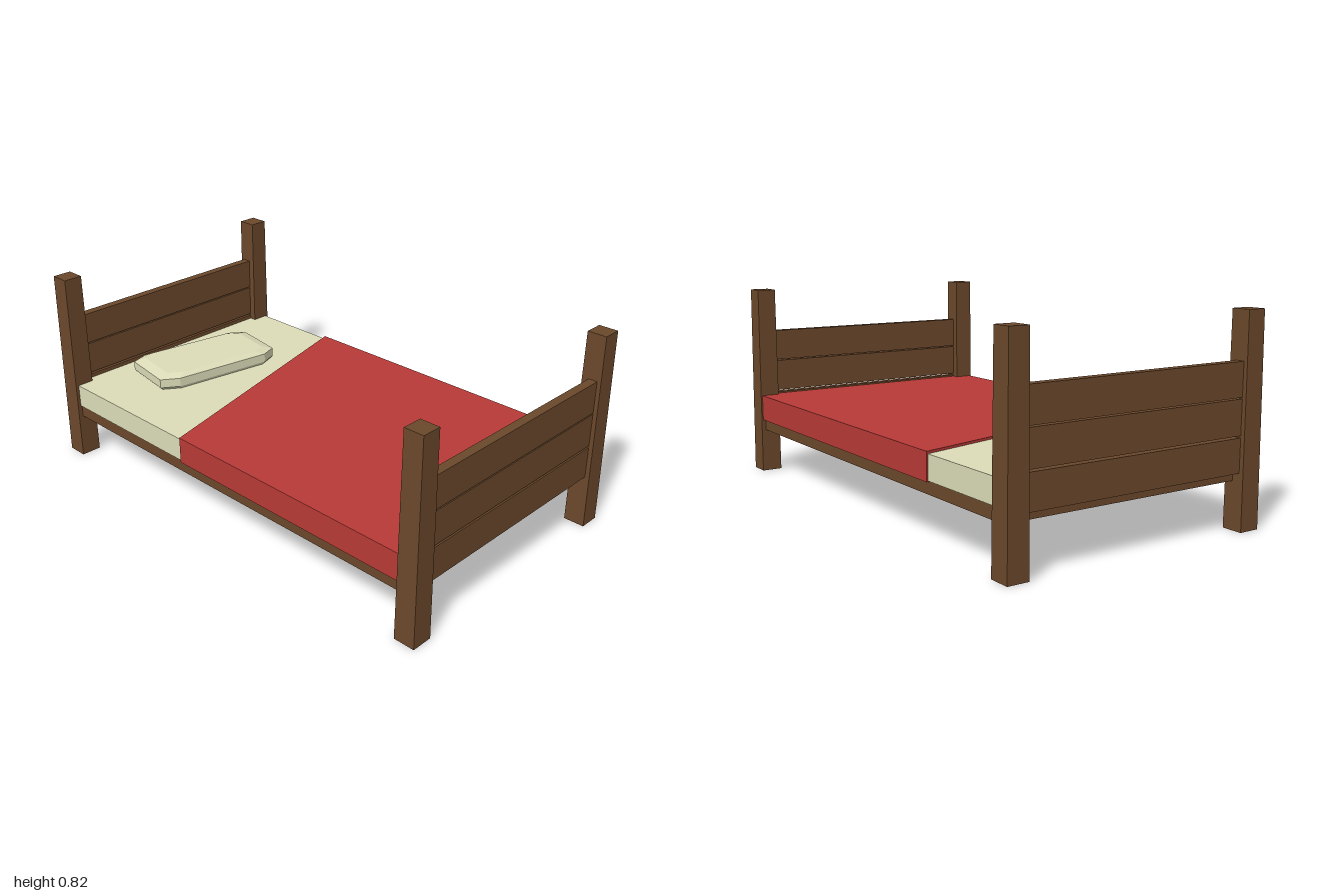
import * as THREE from 'three';

const material = (color, side = THREE.FrontSide) =>
  new THREE.MeshStandardMaterial({ color, side, flatShading: true });
const wood = material(0x6b482b);
const hollowWood = material(0x6b482b, THREE.DoubleSide);
const linen = material(0xdcdcb8);
const red = material(0xb83a36);

function add(parent, name, geometry, mat, x = 0, y = 0, z = 0) {
  const mesh = new THREE.Mesh(geometry, mat);
  mesh.name = name;
  mesh.position.set(x, y, z);
  parent.add(mesh);
  return mesh;
}

// Box given by its lower and upper heights
function slab(parent, name, mat, width, y0, y1, depth, x = 0, z = 0) {
  return add(parent, name, new THREE.BoxGeometry(width, y1 - y0, depth), mat, x, (y0 + y1) / 2, z);
}

// Slightly tapered square post, open underneath
function post(x, z) {
  const height = 0.82, bottom = 0.044, top = 0.04;
  const group = new THREE.Group();
  group.name = 'post';
  const sides = new THREE.CylinderGeometry(top * Math.SQRT2, bottom * Math.SQRT2, height, 4, 1, true);
  sides.rotateY(Math.PI / 4);
  add(group, 'postSides', sides, hollowWood, 0, height / 2, 0);
  const cap = new THREE.PlaneGeometry(top * 2, top * 2).rotateX(-Math.PI / 2);
  add(group, 'postTop', cap, wood, 0, height, 0);
  group.position.set(x, 0, z);
  return group;
}

// Eight-sided outline stacked in scaled rings, capped at both ends
function pillowGeometry() {
  const outline = [
    [-0.06, -0.302], [0.164, -0.265], [0.187, -0.195], [0.112, 0.232],
    [0.064, 0.302], [-0.166, 0.265], [-0.188, 0.19], [-0.106, -0.245],
  ];
  const rings = [[0, 0], [0, 0.96], [0.012, 1], [0.05, 1], [0.063, 0.84], [0.063, 0]];
  const n = outline.length;
  const positions = [], index = [];
  for (const [y, s] of rings) for (const [x, z] of outline) positions.push(x * s, y, z * s);
  for (let r = 0; r < rings.length - 1; r++) {
    for (let i = 0; i < n; i++) {
      const a = r * n + i, b = r * n + (i + 1) % n;
      if (r > 0) index.push(a, a + n, b);
      else index.push(a, a + n, b + n);
      if (r > 0 && r < rings.length - 2) index.push(b, a + n, b + n);
    }
  }
  const geometry = new THREE.BufferGeometry();
  geometry.setAttribute('position', new THREE.Float32BufferAttribute(positions, 3));
  geometry.setIndex(index);
  geometry.computeVertexNormals();
  return geometry;
}

export function createModel() {
  const bed = new THREE.Group();
  bed.name = 'bed';

  // Posts and the planked boards between them
  for (const side of [-1, 1]) {
    const board = new THREE.Group();
    board.name = side < 0 ? 'headboard' : 'footboard';
    for (const z of [-0.526, 0.526]) board.add(post(side * 0.956, z));
    for (const [y0, y1] of [[0.22, 0.352], [0.36, 0.496], [0.501, 0.633]]) {
      slab(board, 'plank', wood, 0.037, y0, y1, 0.98, side * 0.962);
    }
    bed.add(board);
  }

  // Base and mattress
  slab(bed, 'base', wood, 1.9, 0.187, 0.238, 1.1);
  slab(bed, 'mattress', linen, 1.89, 0.238, 0.335, 1.11);

  // Blanket with its slanted turned edge
  const shape = new THREE.Shape([
    new THREE.Vector2(-0.22, -0.562), new THREE.Vector2(0.947, -0.562),
    new THREE.Vector2(0.947, 0.562), new THREE.Vector2(-0.507, 0.562),
  ]);
  const blanket = new THREE.ExtrudeGeometry(shape, { depth: 0.11, bevelEnabled: false });
  blanket.rotateX(-Math.PI / 2);
  add(bed, 'blanket', blanket, red, 0, 0.235, 0);

  // Pillow lying askew
  add(bed, 'pillow', pillowGeometry(), linen, -0.684, 0.336, 0.035);
  return bed;
}
